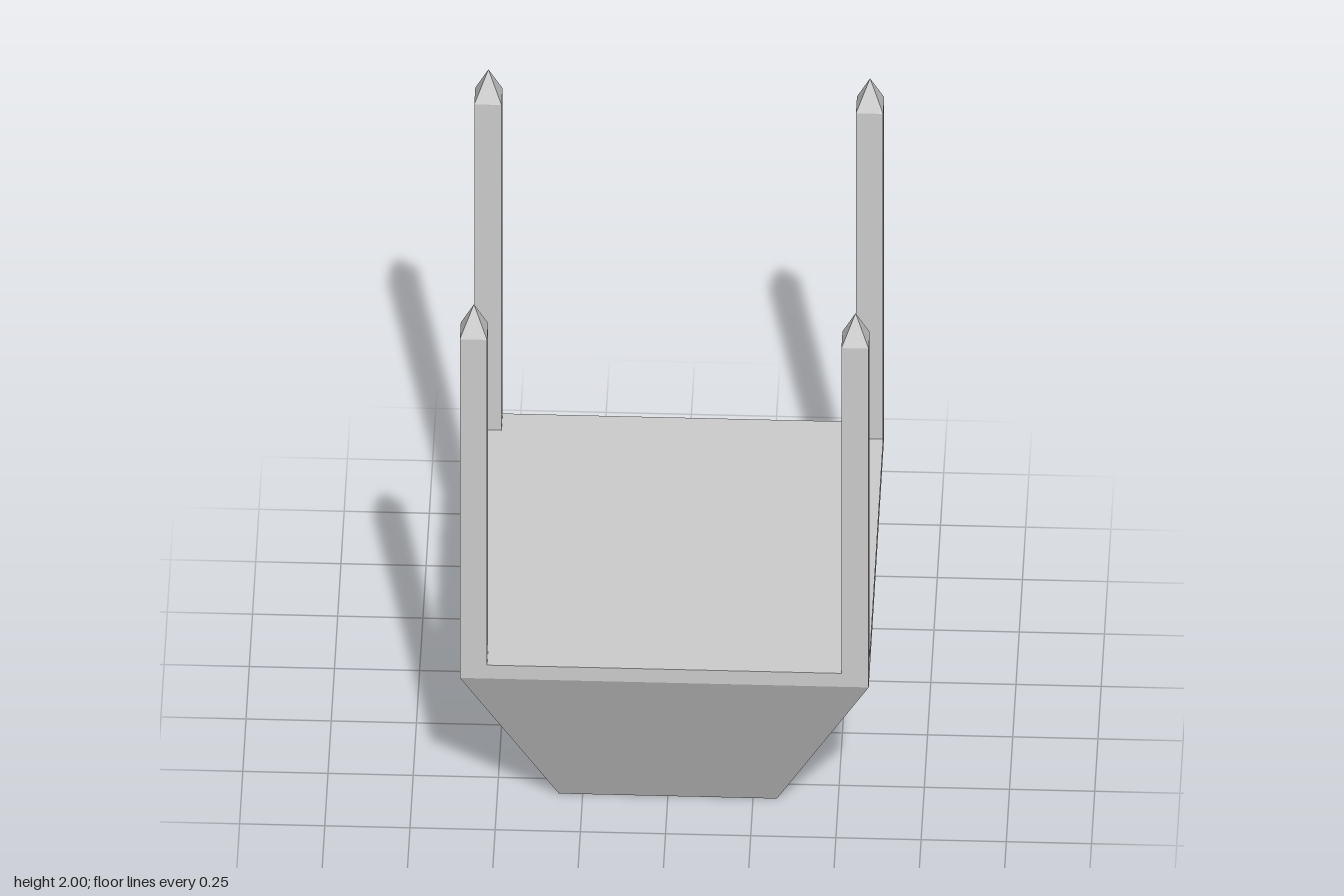
import * as THREE from 'three';

const material = new THREE.MeshStandardMaterial({ color: 0xcccccc, flatShading: true });

// Square-section solid from a profile of [half width, height], bottom to top
function squareLathe(name, profile) {
  const points = profile.map(([half, y]) => new THREE.Vector2(half * Math.SQRT2, y));
  const geometry = new THREE.LatheGeometry(points, 4, Math.PI / 4).toNonIndexed();
  geometry.computeVertexNormals();
  const mesh = new THREE.Mesh(geometry, material);
  mesh.name = name;
  return mesh;
}

export function createModel() {
  const model = new THREE.Group();
  model.name = 'postedPlatform';

  // Tapered base with a straight rim and a flat top
  model.add(squareLathe('taperedBase', [[0, 0], [0.32, 0], [0.6, 0.64], [0.6, 0.69], [0, 0.69]]));

  // Corner posts with pyramid tips, flush with the rim
  for (const x of [-1, 1]) {
    for (const z of [-1, 1]) {
      const name = `${z > 0 ? 'front' : 'back'}${x > 0 ? 'Left' : 'Right'}Post`;
      const post = squareLathe(name, [[0.04, 0.69], [0.04, 1.9], [0, 2]]);
      post.position.set(x * 0.56, 0, z * 0.56);
      model.add(post);
    }
  }
  return model;
}
